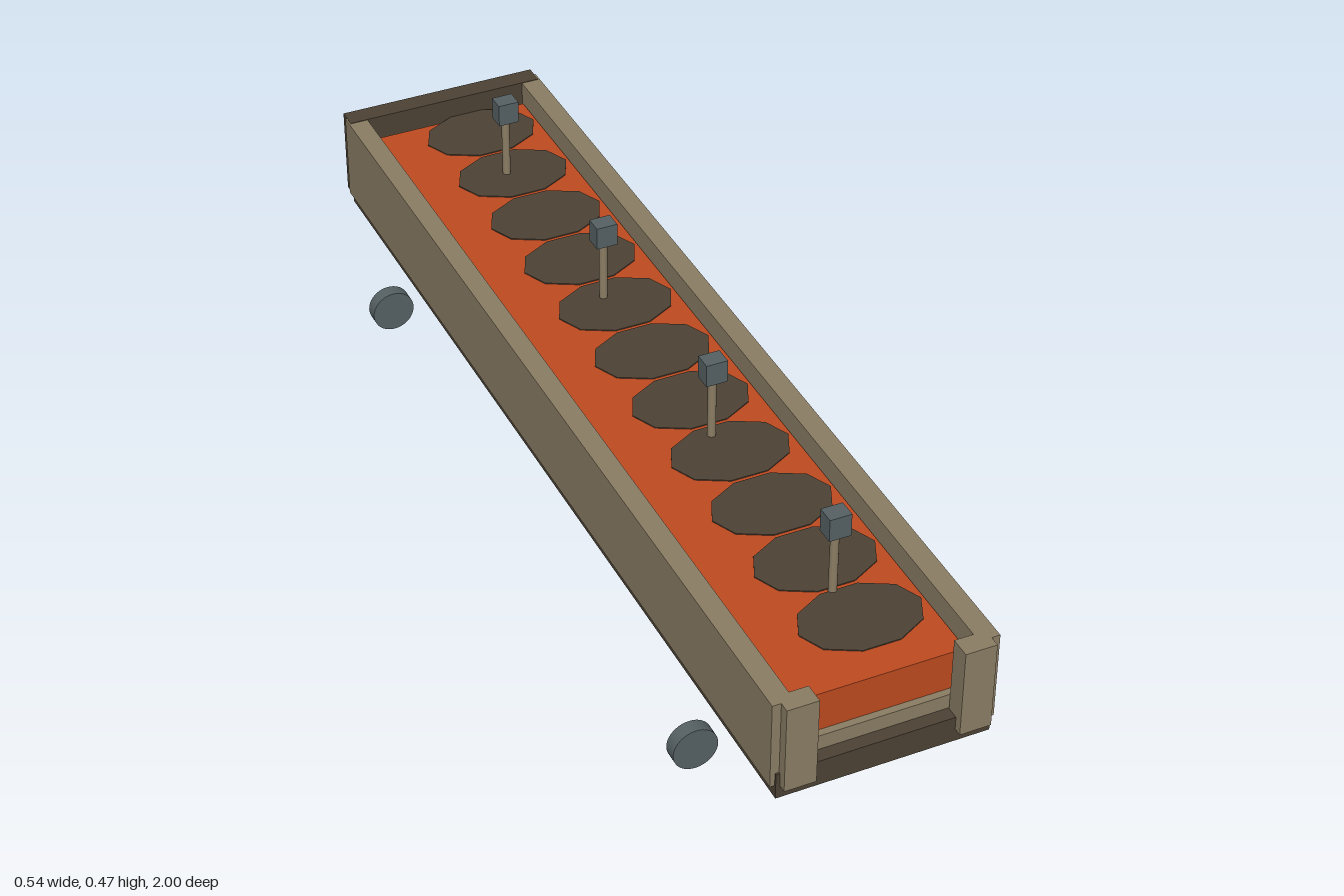
import * as THREE from 'three';

const material = (name, color) => {
  const m = new THREE.MeshStandardMaterial({ color });
  m.name = name;
  return m;
};

export function createModel() {
  const wood = material('light wood', 0x8b7d64);
  const dark = material('dark wood', 0x4c4234);
  const orange = material('orange bed', 0xbe4a20);
  const steel = material('grey steel', 0x566164);

  const model = new THREE.Group();
  model.name = 'trough';

  const add = (name, geometry, mat, x, y, z) => {
    const mesh = new THREE.Mesh(geometry, mat);
    mesh.name = name;
    mesh.position.set(x, y, z);
    model.add(mesh);
    return mesh;
  };
  // Box given by its limits on each axis
  const box = (name, mat, x0, x1, y0, y1, z0, z1) =>
    add(name, new THREE.BoxGeometry(x1 - x0, y1 - y0, z1 - z0), mat,
      (x0 + x1) / 2, (y0 + y1) / 2, (z0 + z1) / 2);

  // Base, floor and filled bed
  box('base', dark, -0.2025, 0.2025, 0.137, 0.19, -0.984, 0.984);
  box('floor', wood, -0.17, 0.17, 0.19, 0.22, -0.958, 0.958);
  box('bed', orange, -0.168, 0.168, 0.22, 0.3, -0.946, 0.944);

  // Back panel
  box('backPanel', dark, -0.208, 0.208, 0.163, 0.343, -1, -0.958);

  // Side walls and front posts
  for (const s of [-1, 1]) {
    const wall = box('sideWall', wood, -0.02, 0.02, 0.163, 0.342, -0.98, 0.98);
    wall.position.x = s * 0.1915;
    const post = box('frontPost', wood, -0.03, 0.03, 0.163, 0.342, 0.96, 1);
    post.position.x = s * 0.165;
  }

  // Row of flat ten-sided plates on the bed
  const plate = new THREE.CylinderGeometry(1, 1, 0.004, 10).toNonIndexed();
  plate.rotateY(Math.PI / 2);
  plate.scale(0.117, 1, 0.084);
  plate.computeVertexNormals();
  for (let i = 0; i < 11; i++) {
    add('plate', plate, dark, 0.045, 0.3, -0.877 + i * 0.1677);
  }

  // Upright rods with block heads, and legs below
  const rod = new THREE.CylinderGeometry(0.008, 0.008, 0.13, 16);
  const head = new THREE.BoxGeometry(0.042, 0.046, 0.035);
  const leg = new THREE.CylinderGeometry(0.017, 0.017, 0.114, 20);
  for (let i = 0; i < 4; i++) {
    const z = -0.715 + i * 0.478;
    add('rod', rod, wood, 0.034, 0.364, z);
    add('rodHead', head, steel, 0.035, 0.45, z);
    add('leg', leg, wood, 0, 0.08, z);
  }

  // Wheel discs facing front and back
  const wheel = new THREE.CylinderGeometry(0.043, 0.043, 0.028, 40);
  wheel.rotateX(Math.PI / 2);
  for (const x of [-0.227, 0.227]) {
    for (const z of [-0.717, 0.717]) add('wheel', wheel, steel, x, 0.043, z);
  }

  return model;
}
